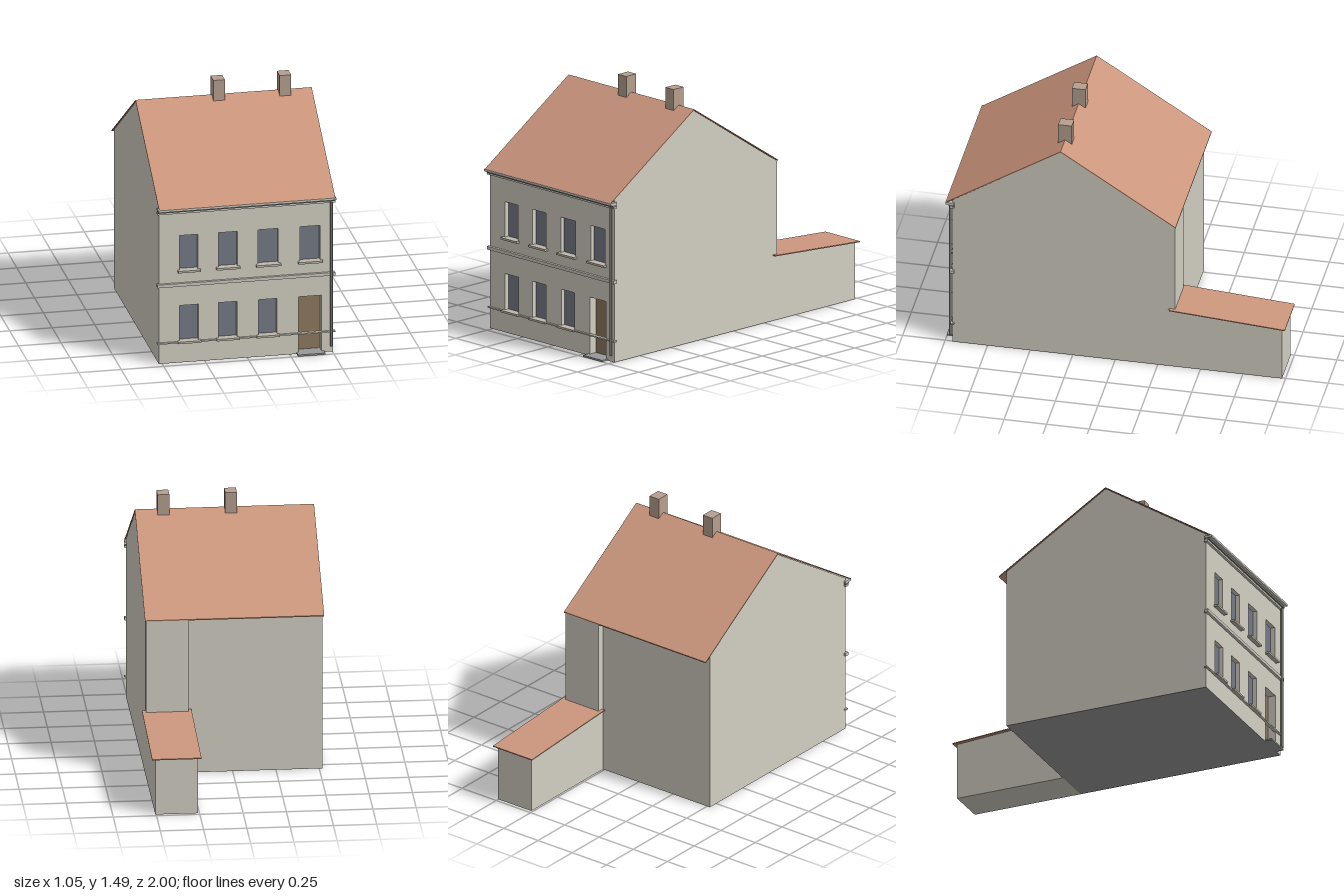
import * as THREE from 'three';

const mat = (name, color, side = THREE.FrontSide) => {
  const m = new THREE.MeshStandardMaterial({ color, side });
  m.name = name;
  return m;
};

export function createModel() {
  const house = new THREE.Group();
  house.name = 'house';

  const wall = mat('wall render', 0xd2cec2);
  const tile = mat('roof tile', 0xcc967d, THREE.DoubleSide);
  const brick = mat('chimney brick', 0xb69f90);
  const glass = mat('window glass', 0x757a85);
  const wood = mat('door wood', 0x8e785e);
  const stone = mat('sill stone', 0xbdb7aa);
  const trim = mat('trim', 0xcbc8be);
  const metal = mat('gutter metal', 0x77766f);
  const paving = mat('paving grey', 0x98989a);

  const add = (name, geometry, material) => {
    const mesh = new THREE.Mesh(geometry, material);
    mesh.name = name;
    house.add(mesh);
    return mesh;
  };
  // Box given by its limits on each axis
  const box = (name, m, x0, x1, y0, y1, z0, z1) =>
    add(name, new THREE.BoxGeometry(x1 - x0, y1 - y0, z1 - z0)
      .translate((x0 + x1) / 2, (y0 + y1) / 2, (z0 + z1) / 2), m);
  // Profile of [z, y] points extruded from x0 to x1
  const prism = (name, m, x0, x1, points) => {
    const shape = new THREE.Shape(points.map(([z, y]) => new THREE.Vector2(z, y)));
    const g = new THREE.ExtrudeGeometry(shape, { depth: x1 - x0, bevelEnabled: false });
    return add(name, g.rotateY(-Math.PI / 2).translate(x1, 0, 0), m);
  };
  const rect = (path, x0, x1, y0, y1) =>
    path.moveTo(x0, y0).lineTo(x1, y0).lineTo(x1, y1).lineTo(x0, y1).closePath();

  const L = -0.52, R = 0.505, F = 0.955, B = -0.31, inner = 0.895;

  // Main body with gables
  prism('mainBody', wall, L, R, [
    [B, 0.002], [inner, 0.002], [inner, 0.95], [F, 0.95], [F, 0.972],
    [0.32, 1.382], [B, 0.976],
  ]);
  box('floor', paving, L, R, 0, 0.002, B, F);

  // Openings as [x0, x1, y0, y1]
  const upper = [[-0.397, -0.29], [-0.17, -0.058], [0.063, 0.182], [0.31, 0.428]]
    .map(([a, b]) => [a, b, 0.565, 0.78]);
  const lower = [[-0.397, -0.288], [-0.17, -0.06], [0.066, 0.175]]
    .map(([a, b]) => [a, b, 0.13, 0.35]);
  const door = [0.302, 0.436, 0.01, 0.35];
  const windows = [...upper, ...lower];

  // Front wall with recessed openings
  const front = new THREE.Shape();
  rect(front, L, R, 0.002, 0.95);
  for (const o of [...windows, door]) {
    const hole = new THREE.Path();
    rect(hole, ...o);
    front.holes.push(hole);
  }
  add('frontWall', new THREE.ExtrudeGeometry(front, { depth: F - inner, bevelEnabled: false })
    .translate(0, 0, inner), wall);

  for (const [x0, x1, y0, y1] of windows) {
    box('windowPane', glass, x0, x1, y0, y1, F - 0.034, F - 0.026);
    box('windowSill', stone, x0 - 0.013, x1 + 0.013, y0 - 0.008, y0 + 0.004, F - 0.03, 0.98);
  }
  box('door', wood, ...door, F - 0.056, F - 0.048);
  box('doorStep', paving, 0.29, 0.45, 0, 0.01, 0.905, 1);

  // String courses and eaves cornice
  box('lowerStringCourse', trim, -0.53, 0.515, 0.122, 0.13, F - 0.01, 0.967);
  box('upperStringCourse', trim, -0.53, 0.515, 0.472, 0.491, F - 0.01, 0.972);
  box('corniceBase', trim, -0.53, 0.515, 0.92, 0.932, F - 0.01, 0.97);
  box('gutterShadowBand', metal, -0.528, 0.513, 0.932, 0.944, F - 0.01, 0.978);
  box('corniceTop', trim, -0.53, 0.515, 0.944, 0.957, F - 0.01, 0.996);

  // Downpipe
  add('downpipe', new THREE.CylinderGeometry(0.008, 0.008, 0.885, 12)
    .translate(0.491, 0.4825, 0.972), metal);

  // Main roof, a thin folded sheet
  prism('mainRoof', tile, -0.525, 0.51, [
    [0.993, 0.957], [0.32, 1.39], [-0.355, 0.957],
    [-0.355, 0.951], [0.32, 1.384], [0.993, 0.951],
  ]);

  // Rear projection above the annex
  prism('rearProjection', wall, 0.26, 0.503, [
    [-0.352, 0.36], [B, 0.36], [B, 0.978], [-0.352, 0.951],
  ]);

  // Low annex and its lean-to roof
  prism('annex', wall, 0.26, R, [[-0.98, 0], [B, 0], [B, 0.388], [-0.98, 0.341]]);
  prism('annexRoof', tile, 0.24, 0.525, [
    [-1, 0.34], [-0.32, 0.388], [-0.32, 0.394], [-1, 0.346],
  ]);

  // Chimneys on the ridge
  for (const x of [-0.042, 0.348]) box('chimney', brick, x - 0.034, x + 0.034, 1.33, 1.49, 0.28, 0.36);

  return house;
}
